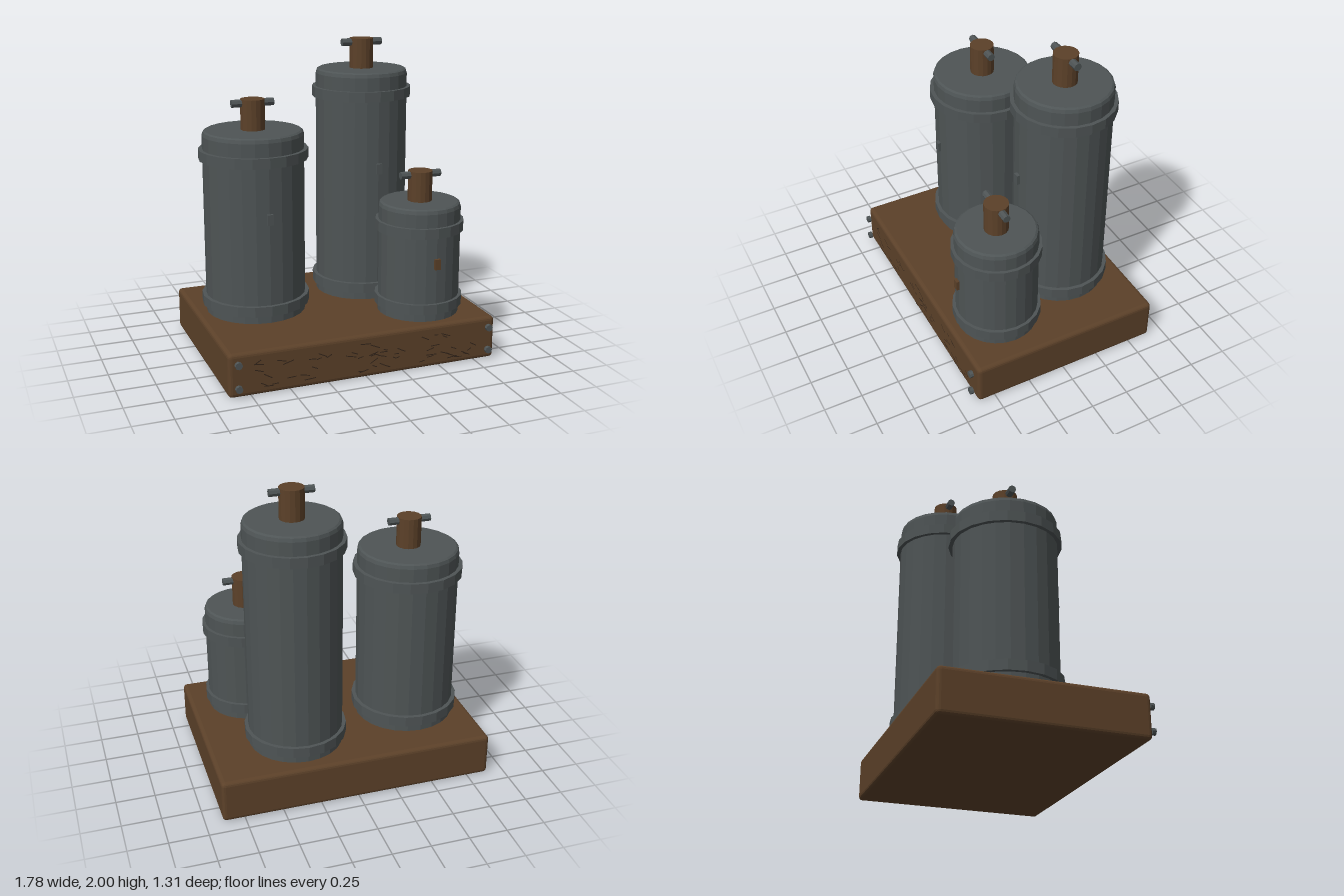
import * as THREE from 'three';
import { RoundedBoxGeometry } from 'three/addons/geometries/RoundedBoxGeometry.js';

const flat = (name, color, extra = {}) => {
  const m = new THREE.MeshStandardMaterial({ color, ...extra });
  m.name = name;
  return m;
};

export function createModel() {
  const wood = flat('brown', 0x5c4129, { flatShading: true });
  const steel = flat('steel grey', 0x4e5455, { flatShading: true });
  const groove = flat('dark brown', 0x33251a, { side: THREE.DoubleSide });

  const root = new THREE.Group();
  root.name = 'canisterStand';
  const add = (parent, name, geometry, material, x, y, z) => {
    const mesh = new THREE.Mesh(geometry, material);
    mesh.name = name;
    mesh.position.set(x, y, z);
    parent.add(mesh);
    return mesh;
  };

  // Slab with softened edges
  add(root, 'base', new RoundedBoxGeometry(1.78, 0.28, 1.27, 2, 0.025), wood, 0, 0.14, -0.019);

  // Corner studs on the front of the slab
  for (const x of [-0.835, 0.835]) {
    for (const y of [0.068, 0.22]) {
      const stud = add(root, 'stud', new THREE.CylinderGeometry(0.023, 0.023, 0.024, 8), steel, x, y, 0.644);
      stud.rotation.x = Math.PI / 2;
    }
  }

  // Scattered grain scratches, just in front of the slab
  let seed = 17;
  const random = () => (seed = (seed * 16807) % 2147483647) / 2147483647;
  random();
  const grain = new THREE.Group();
  grain.name = 'grainScratches';
  root.add(grain);
  for (let i = 0; i < 56; i++) {
    const length = 0.025 + random() * 0.05;
    const x = -0.72 + random() * 1.48;
    const y = 0.045 + random() * 0.19;
    const scratch = add(grain, 'scratch', new THREE.PlaneGeometry(length, 0.006), groove, x, y, 0.626);
    scratch.rotation.z = (random() - 0.5) * 1.1;
  }

  // One canister: bevelled body, two hoops, front tag, valve and cross handle
  const floor = 0.28;
  function canister(name, x, z, radius, top, tagY, tagMaterial) {
    const group = new THREE.Group();
    group.name = name;
    group.position.set(x, 0, z);
    root.add(group);

    const bevel = 0.02;
    const profile = [
      [0, floor - 0.01], [radius, floor - 0.01], [radius, top - bevel * 1.5],
      [radius - bevel * 0.35, top - bevel * 0.4], [radius - bevel, top], [0, top],
    ].map(([r, y]) => new THREE.Vector2(r, y));
    add(group, 'body', new THREE.LatheGeometry(profile, 24), steel, 0, 0, 0);

    const hoopRadius = radius * 1.08;
    for (const y of [floor + 0.085, top - 0.15]) {
      add(group, 'hoop', new THREE.CylinderGeometry(hoopRadius, hoopRadius, 0.066, 20), steel, 0, y, 0);
    }

    add(group, 'tag', new THREE.BoxGeometry(0.038, 0.068, 0.02), tagMaterial, 0, tagY, radius + 0.012);
    add(group, 'valve', new THREE.CylinderGeometry(0.078, 0.078, 0.195, 16), wood, 0, top + 0.0975, 0);
    const handle = add(group, 'handle', new THREE.CylinderGeometry(0.025, 0.025, 0.277, 8), steel, 0, top + 0.17, 0);
    handle.rotation.z = Math.PI / 2;
  }

  canister('mediumCanister', -0.489, -0.118, 0.325, 1.472, 0.963, steel);
  canister('tallCanister', 0.314, -0.267, 0.304, 1.805, 1.18, steel);
  canister('smallCanister', 0.496, 0.288, 0.264, 1.015, 0.663, wood);

  return root;
}
